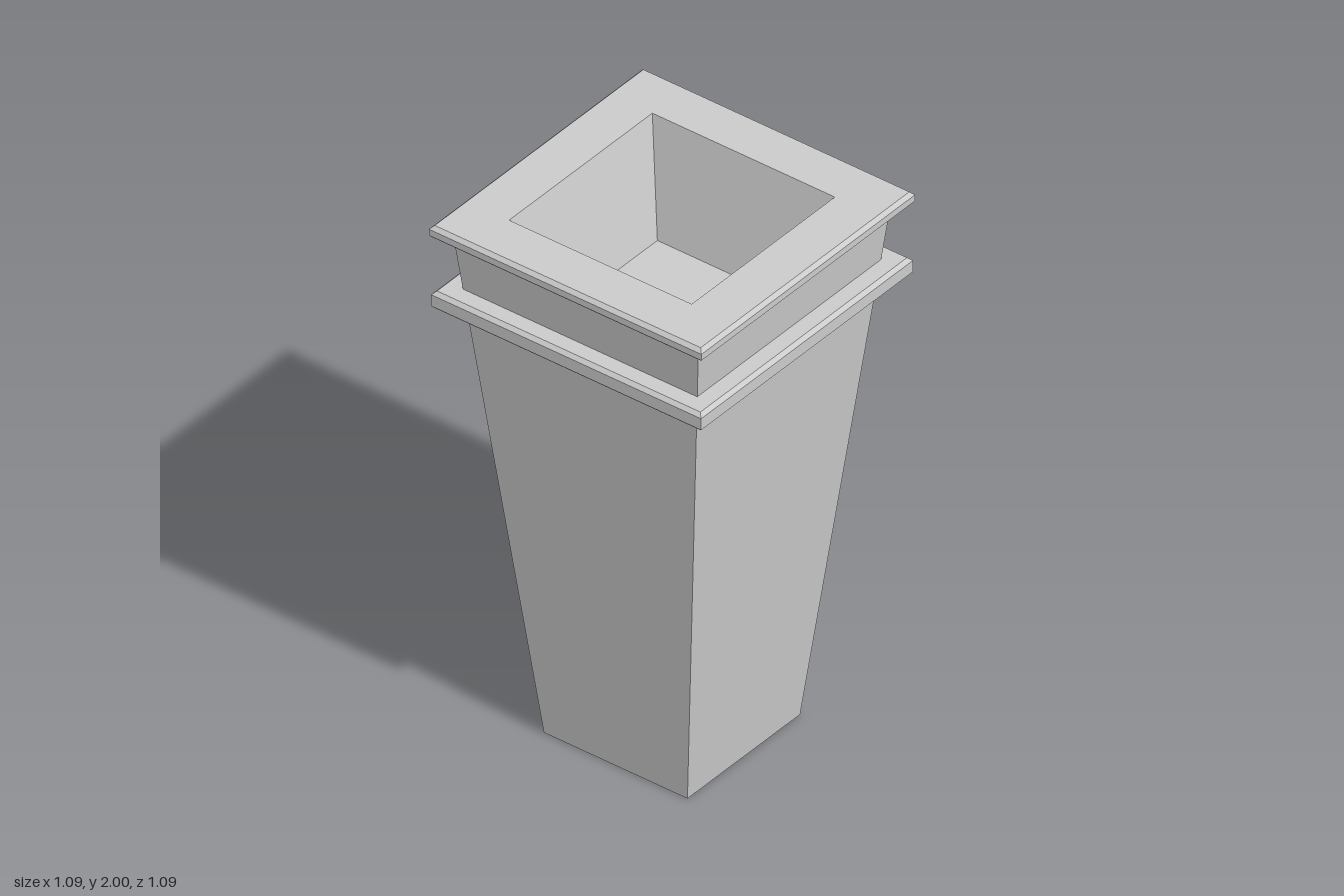
import * as THREE from 'three';

const material = new THREE.MeshStandardMaterial({ color: 0xcccccc, flatShading: true });

// Square-section part: profile of [half width, height], outer faces run upwards
function squarePart(name, profile) {
  const points = profile.map(([half, y]) => new THREE.Vector2(half * Math.SQRT2, y));
  const geometry = new THREE.LatheGeometry(points, 4, Math.PI / 4).toNonIndexed();
  geometry.computeVertexNormals();
  const mesh = new THREE.Mesh(geometry, material);
  mesh.name = name;
  return mesh;
}

// Profile of a moulding with chamfered outer edges
const moulding = (innerLow, innerHigh, outer, low, high, chamfer) => [
  [innerLow, low],
  [outer - chamfer, low],
  [outer, low + chamfer],
  [outer, high - chamfer],
  [outer - chamfer, high],
  [innerHigh, high],
];

export function createModel() {
  const planter = new THREE.Group();
  planter.name = 'planter';
  planter.add(
    // Tapered outer walls and underside
    squarePart('body', [[0, 0], [0.287, 0], [0.49, 1.95]]),
    // Band around the neck
    squarePart('neckBand', moulding(0.461, 0.468, 0.54, 1.675, 1.745, 0.013)),
    // Wide flat rim
    squarePart('topRim', moulding(0.49, 0.365, 0.545, 1.95, 2, 0.013)),
    // Sloping recess with a flat floor
    squarePart('recess', [[0.365, 2], [0.272, 1.6], [0, 1.6]]),
  );
  return planter;
}
